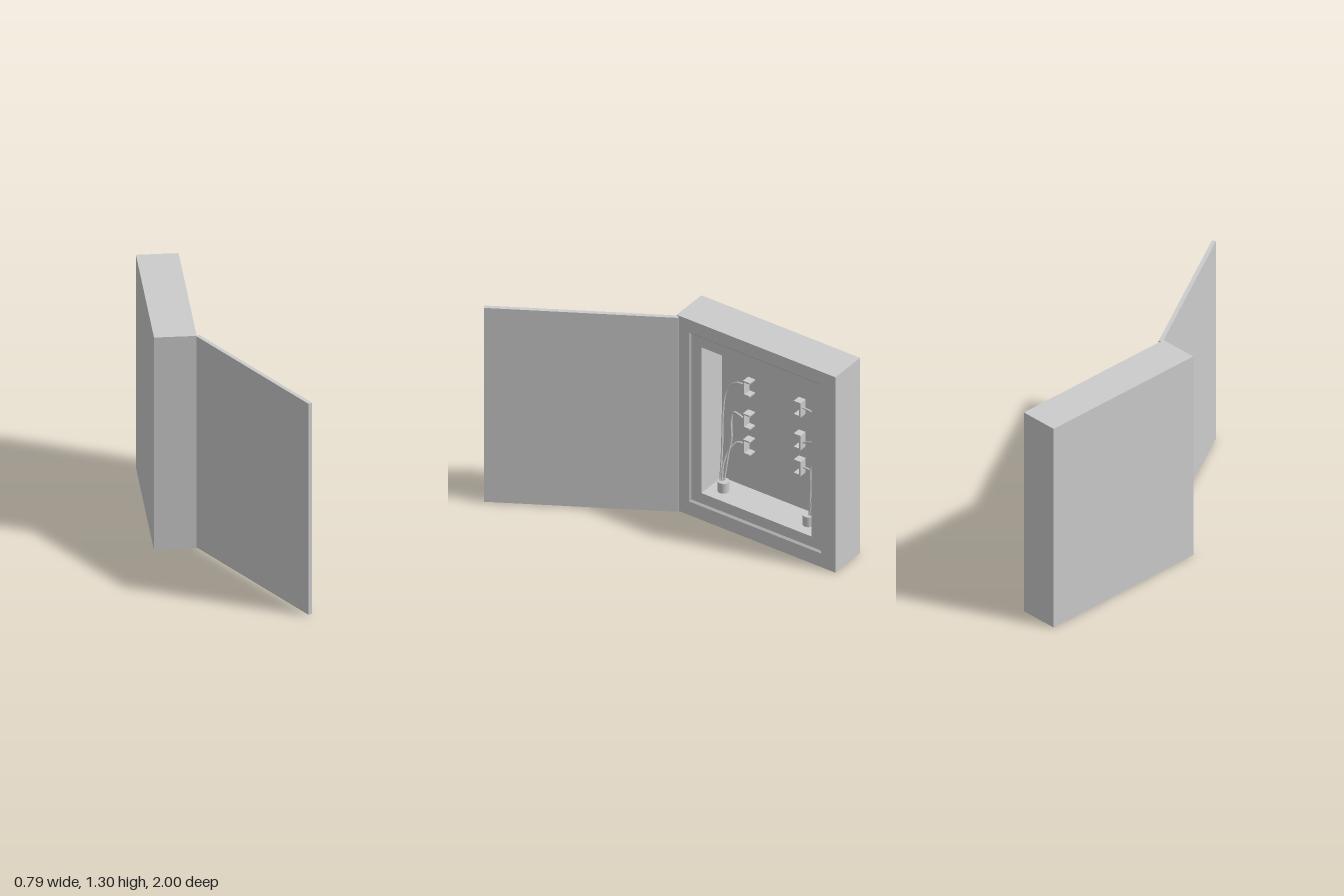
import * as THREE from 'three';

const grey = new THREE.MeshStandardMaterial({ color: 0xcccccc });
const flat = new THREE.MeshStandardMaterial({ color: 0xcccccc, flatShading: true });
const BACK = -0.37;      // x of the cavity's rear wall
const MID_Z = -0.4575;   // middle of the opening
const FLOOR = 0.17;      // cavity floor height

function add(parent, name, geometry, x = 0, y = 0, z = 0, material = grey) {
  const mesh = new THREE.Mesh(geometry, material);
  mesh.name = name;
  mesh.position.set(x, y, z);
  parent.add(mesh);
  return mesh;
}

// Skin through rectangular rings [x, z0, z1, y0, y1], closed at both ends
function rectLoft(rings) {
  const corners = rings.map(([x, z0, z1, y0, y1]) =>
    [[x, y0, z1], [x, y0, z0], [x, y1, z0], [x, y1, z1]]);
  const pos = [];
  const quad = (a, b, c, d) => pos.push(...a, ...b, ...c, ...a, ...c, ...d);
  for (let i = 0; i < corners.length - 1; i++) {
    for (let j = 0; j < 4; j++) {
      const k = (j + 1) % 4;
      quad(corners[i][j], corners[i][k], corners[i + 1][k], corners[i + 1][j]);
    }
  }
  quad(...corners[corners.length - 1]);
  quad(...[...corners[0]].reverse());
  const g = new THREE.BufferGeometry();
  g.setAttribute('position', new THREE.Float32BufferAttribute(pos, 3));
  g.computeVertexNormals();
  return g;
}

// Cable paths as [x, y, outward offset from the middle]
const cables = [
  [[-0.258, 0.22, 0.305], [-0.30, 0.42, 0.322], [-0.325, 0.646, 0.333],
    [-0.335, 0.79, 0.315], [-0.343, 0.855, 0.26], [-0.345, 0.863, 0.19]],
  [[-0.272, 0.22, 0.29], [-0.30, 0.40, 0.279], [-0.315, 0.50, 0.268],
    [-0.335, 0.60, 0.284], [-0.342, 0.655, 0.272], [-0.345, 0.632, 0.19]],
  [[-0.258, 0.22, 0.295], [-0.285, 0.34, 0.30], [-0.32, 0.43, 0.278],
    [-0.342, 0.466, 0.245], [-0.345, 0.468, 0.19]],
];
const clipHeights = [0.858, 0.641, 0.468];

// Clips, cables and cable socket of one side (s = -1 is the rear side)
function wiring(s) {
  const g = new THREE.Group();
  g.name = s < 0 ? 'rearWiring' : 'frontWiring';
  clipHeights.forEach((y) => {
    const clip = new THREE.Group();
    clip.name = 'clip';
    clip.position.set(BACK + 0.025, y, MID_Z + s * 0.172);
    add(clip, 'clipSpine', new THREE.BoxGeometry(0.05, 0.094, 0.009), 0, 0, s * 0.0185);
    for (const e of [-1, 1]) {
      add(clip, 'clipFlange', new THREE.BoxGeometry(0.05, 0.009, 0.046), 0, e * 0.0435, 0);
    }
    g.add(clip);
  });
  cables.forEach((path) => {
    const curve = new THREE.CatmullRomCurve3(
      path.map(([x, y, w]) => new THREE.Vector3(x, y, MID_Z + s * w)));
    add(g, 'cable', new THREE.TubeGeometry(curve, 40, 0.006, 8));
  });
  add(g, 'cableSocket', new THREE.CylinderGeometry(0.033, 0.033, 0.065, 24),
    -0.265, FLOOR + 0.0325, MID_Z + s * 0.288);
  return g;
}

export function createModel() {
  const root = new THREE.Group();
  root.name = 'openWallCabinet';

  // Cabinet shell: outer box, shallow bevelled recess, then the cavity
  add(root, 'cabinetBody', rectLoft([
    [-0.4, -1, 0.075, 0, 1.3],
    [-0.163, -1, 0.075, 0, 1.3],
    [-0.163, -0.905, -0.008, 0.09, 1.217],
    [-0.173, -0.893, -0.02, 0.102, 1.204],
    [-0.173, -0.83, -0.085, FLOOR, 1.14],
    [BACK, -0.83, -0.085, FLOOR, 1.14],
  ]), 0, 0, 0, flat);

  // Door swung open
  const door = add(root, 'door', new THREE.BoxGeometry(0.024, 1.29, 1.078), 0.1125, 0.651, 0.527);
  door.rotation.y = Math.PI / 6;

  root.add(wiring(1), wiring(-1));
  return root;
}
